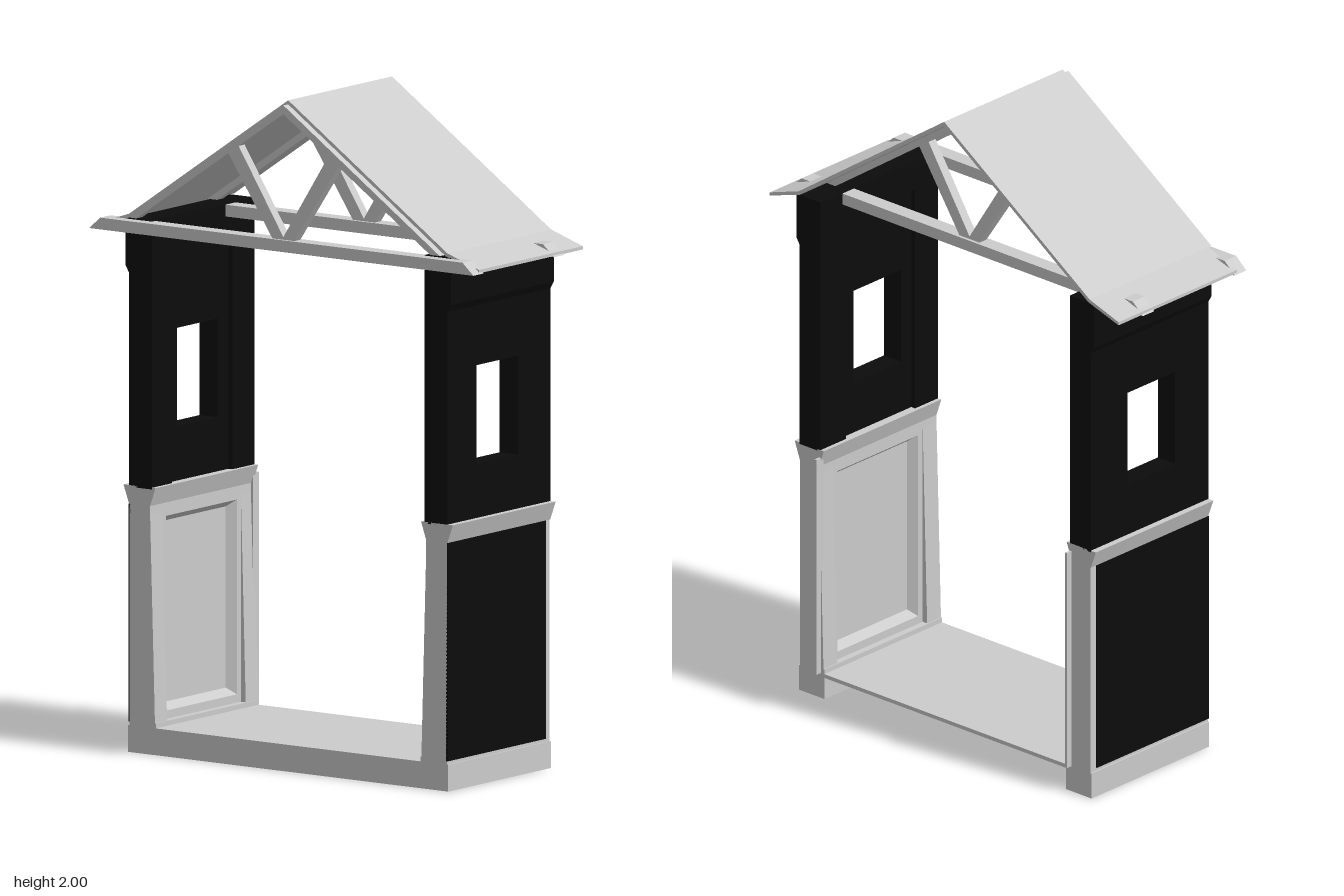
import * as THREE from 'three';

const grey = new THREE.MeshStandardMaterial({ color: 0xcccccc, flatShading: true, side: THREE.DoubleSide });
const dark = new THREE.MeshStandardMaterial({ color: 0x0c0c0c, flatShading: true, side: THREE.DoubleSide });

function add(parent, name, geometry, material = grey) {
  const mesh = new THREE.Mesh(geometry, material);
  mesh.name = name;
  parent.add(mesh);
  return mesh;
}

// Box given by its limits on each axis
function box(x0, x1, y0, y1, z0, z1) {
  return new THREE.BoxGeometry(x1 - x0, y1 - y0, Math.abs(z1 - z0))
    .translate((x0 + x1) / 2, (y0 + y1) / 2, (z0 + z1) / 2);
}

// Profile of [z, y] points swept along x
function sweep(points, x0, x1) {
  const shape = new THREE.Shape(points.map(([z, y]) => new THREE.Vector2(z, y)));
  return new THREE.ExtrudeGeometry(shape, { depth: x1 - x0, bevelEnabled: false })
    .rotateY(-Math.PI / 2).translate(x1, 0, 0);
}

// Rectangular plate in the x-y plane with a rectangular opening
function framePlate(outer, hole, z0, z1) {
  const rect = ([a, b, c, d], T) => new T([[a, c], [b, c], [b, d], [a, d]].map(p => new THREE.Vector2(...p)));
  const shape = rect(outer, THREE.Shape);
  shape.holes.push(rect(hole, THREE.Path));
  return new THREE.ExtrudeGeometry(shape, { depth: Math.abs(z1 - z0), bevelEnabled: false })
    .translate(0, 0, Math.min(z0, z1));
}

// Sloping ring of four faces between two rectangles at different depths
function bevelRing(a, za, b, zb) {
  const corners = ([x0, x1, y0, y1], z) => [[x0, y0, z], [x1, y0, z], [x1, y1, z], [x0, y1, z]];
  const A = corners(a, za), B = corners(b, zb), pos = [];
  for (let i = 0; i < 4; i++) {
    const j = (i + 1) % 4;
    pos.push(...A[i], ...A[j], ...B[j], ...A[i], ...B[j], ...B[i]);
  }
  const g = new THREE.BufferGeometry();
  g.setAttribute('position', new THREE.Float32BufferAttribute(pos, 3));
  g.computeVertexNormals();
  return g;
}

const X0 = -0.25, X1 = 0.26;

// One side wall: s = 1 front, s = -1 back
function makeWall(s) {
  const wall = new THREE.Group();
  wall.name = s > 0 ? 'frontWall' : 'backWall';
  const swept = (pts, x0 = X0, x1 = X1) => sweep(pts.map(([z, y]) => [z * s, y]), x0, x1);

  // Lower half: foot, core, dark outer panel
  add(wall, 'wallFoot', box(X0, X1, 0, 0.08, 0.5 * s, 0.583 * s));
  add(wall, 'lowerCore', box(X0, X1, 0.08, 0.77, 0.53 * s, 0.578 * s));
  add(wall, 'outerPanel', box(X0, 0.235, 0.09, 0.74, 0.575 * s, 0.582 * s), dark);

  // Inner frame with a bevel leading down to the recessed panel
  const opening = [-0.17, 0.18, 0.12, 0.7];
  add(wall, 'innerFrame', framePlate([X0, X1, 0.08, 0.77], opening, 0.503 * s, 0.54 * s));
  add(wall, 'panelBevel', bevelRing(opening, 0.503 * s, [-0.15, 0.16, 0.14, 0.68], 0.529 * s));
  // Stiles thicken toward the floor
  const stile = [[0.504, 0.75], [0.485, 0.08], [0.51, 0.08]];
  add(wall, 'rightStile', swept(stile, X0, -0.19));
  add(wall, 'leftStile', swept(stile, 0.2, X1));
  add(wall, 'edgeStrip', box(0.25, 0.28, 0.08, 0.77, 0.495 * s, 0.503 * s));
  add(wall, 'skirting', box(X0, X1, 0, 0.095, 0.482 * s, 0.51 * s));

  // Flared rail between the two halves
  add(wall, 'rail', swept([[0.503, 0.74], [0.58, 0.74], [0.6, 0.795], [0.484, 0.795]]));

  // Upper half: wall with window, inner pilasters and flared top band
  const win = [-0.105, 0.1, 0.955, 1.25];
  add(wall, 'upperWall', framePlate([X0, X1, 0.79, 1.58], win, 0.512 * s, 0.58 * s), dark);
  for (const [a, b] of [[X0, -0.15], [0.15, X1]])
    add(wall, 'pilaster', box(a, b, 0.79, 1.59, 0.497 * s, 0.52 * s), dark);
  add(wall, 'topBand', swept([[0.575, 1.42], [0.593, 1.45], [0.593, 1.59], [0.497, 1.59], [0.497, 1.5], [0.575, 1.5]]), dark);
  return wall;
}

// Roof truss: tie beam, two rafters and a V of struts
function makeTruss(x0, x1) {
  const truss = new THREE.Group();
  truss.name = 'truss';
  add(truss, 'tieBeam', sweep([[-0.7, 1.553], [0.7, 1.553], [0.66, 1.588], [-0.66, 1.588]], x0, x1));
  for (const s of [1, -1]) {
    const part = pts => sweep(pts.map(([z, y]) => [z * s, y]), x0 + 0.01, x1 - 0.01);
    add(truss, 'rafter', part([[0, 1.988], [0.57, 1.597], [0.535, 1.597], [0, 1.962]]));
    add(truss, 'strut', part([[-0.005, 1.588], [0.04, 1.588], [0.21, 1.84], [0.172, 1.865]]));
  }
  return truss;
}

export function createModel() {
  const model = new THREE.Group();
  model.name = 'gabledPassage';

  // Floor deck, open underneath, with an edge beam on one side
  add(model, 'floor', box(X0, X1, 0.068, 0.08, -0.5, 0.5));
  add(model, 'edgeBeam', box(X0, X0 + 0.02, 0, 0.08, -0.5, 0.5));

  for (const s of [1, -1]) {
    model.add(makeWall(s));
    // Roof slope with flared eave
    add(model, 'roofSlope', sweep([[0, 2], [0.58, 1.603], [0.695, 1.565], [0.695, 1.555],
      [0.575, 1.593], [0, 1.986]].map(([z, y]) => [z * s, y]), X0, 0.265));
  }

  model.add(makeTruss(-0.284, -0.234));
  model.add(makeTruss(0.115, 0.165));
  return model;
}
